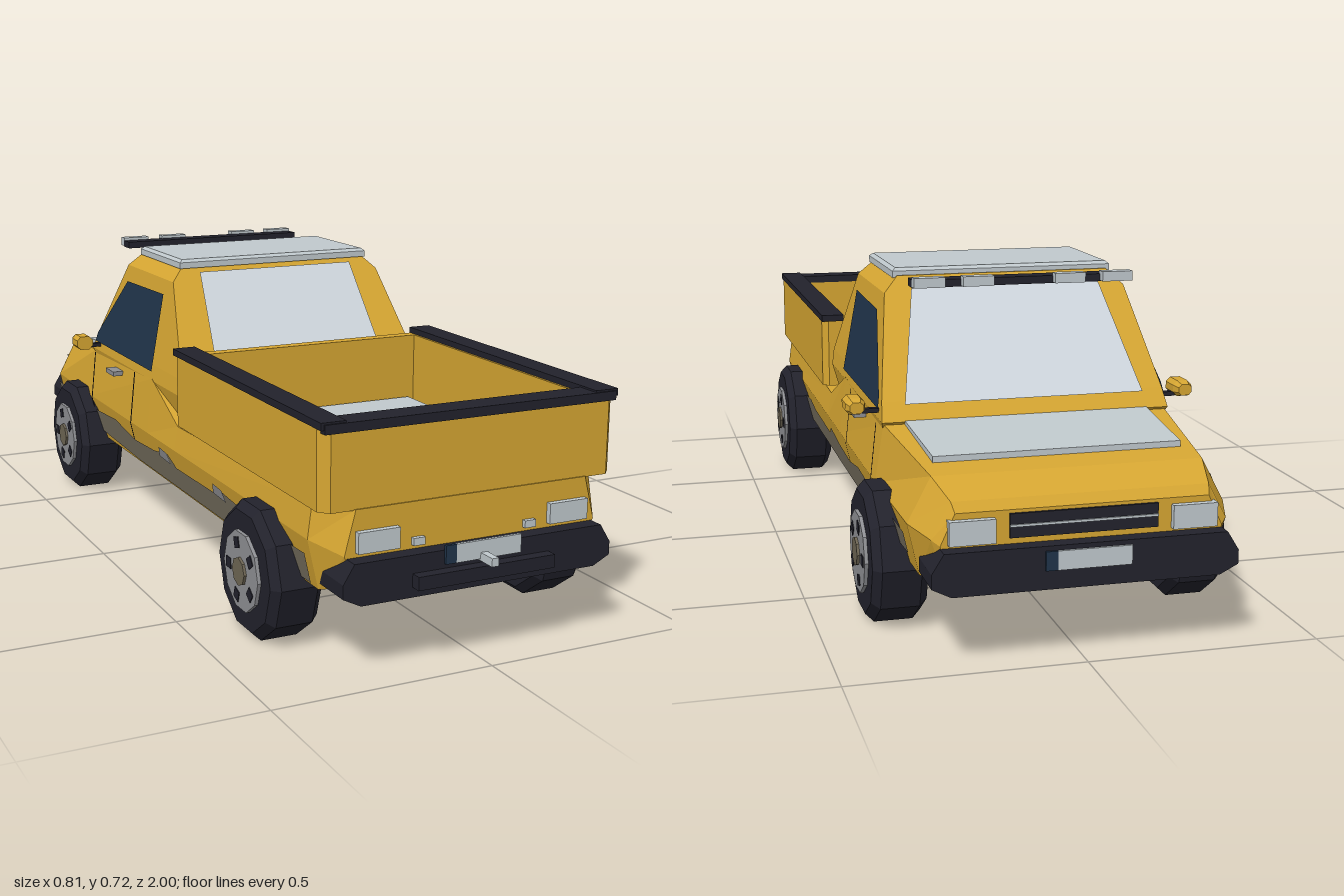
import * as THREE from 'three';

const mat = (name, color, side = THREE.FrontSide) => {
  const m = new THREE.MeshStandardMaterial({ color, side });
  m.name = name;
  return m;
};
const yellow = mat('yellow paint', 0xd6a632);
const dark = mat('dark rubber', 0x22222c, THREE.DoubleSide);
const light = mat('light panel', 0xc0c9cd, THREE.DoubleSide);
const glass = mat('pale glass', 0xcfd7de, THREE.DoubleSide);
const tint = mat('tinted glass', 0x20344a, THREE.DoubleSide);
const hubGrey = mat('hub grey', 0x8f9094);
const capBrown = mat('cap brown', 0x6e6654);
const mud = mat('mud', 0x777060, THREE.DoubleSide);

export function createModel() {
  const root = new THREE.Group();
  root.name = 'pickup truck';

  const flat = (g) => {
    const f = g.index ? g.toNonIndexed() : g;
    f.computeVertexNormals();
    return f;
  };
  const add = (name, geo, material, parent = root) => {
    const m = new THREE.Mesh(flat(geo), material);
    m.name = name;
    parent.add(m);
    return m;
  };
  // Box given by its extents on each axis
  const box = (name, [x0, x1], [y0, y1], [z0, z1], material, parent) => {
    const g = new THREE.BoxGeometry(x1 - x0, y1 - y0, z1 - z0);
    g.translate((x0 + x1) / 2, (y0 + y1) / 2, (z0 + z1) / 2);
    return add(name, g, material, parent);
  };
  // Closed solid through a series of equal-length rings, turned outward
  const loft = (rings) => {
    const n = rings[0].length, last = (rings.length - 1) * n, tris = [];
    for (let r = 0; r < rings.length - 1; r++)
      for (let i = 0; i < n; i++) {
        const a = r * n + i, b = r * n + (i + 1) % n;
        tris.push([a, b, b + n], [a, b + n, a + n]);
      }
    for (let i = 1; i < n - 1; i++)
      tris.push([0, i + 1, i], [last, last + i, last + i + 1]);
    const p = rings.flat().map((v) => new THREE.Vector3(...v));
    let volume = 0;
    for (const [a, b, c] of tris) volume += p[a].dot(p[b].clone().cross(p[c]));
    const g = new THREE.BufferGeometry().setFromPoints(p);
    g.setIndex(tris.flatMap(([a, b, c]) => (volume > 0 ? [a, b, c] : [a, c, b])));
    return g;
  };
  // Thin panel drawn in (u, v) and placed in space by a rule
  const panel = (name, pts, place, material) => {
    const g = new THREE.ShapeGeometry(new THREE.Shape(pts.map((p) => new THREE.Vector2(...p))));
    const pos = g.attributes.position;
    for (let i = 0; i < pos.count; i++) pos.setXYZ(i, ...place(pos.getX(i), pos.getY(i)));
    return add(name, g, material);
  };

  // Lower body: z, bottom half-width, bottom y, waist half-width, waist y, top half-width, top y
  const sections = [
    [0.915, 0.27, 0.19, 0.30, 0.26, 0.275, 0.355],
    [0.84, 0.32, 0.17, 0.345, 0.28, 0.335, 0.355],
    [0.10, 0.32, 0.17, 0.345, 0.28, 0.335, 0.34],
    [-0.09, 0.32, 0.17, 0.345, 0.28, 0.33, 0.42],
    [-0.55, 0.32, 0.17, 0.345, 0.28, 0.325, 0.41],
    [-0.86, 0.315, 0.17, 0.34, 0.28, 0.29, 0.375],
    [-0.945, 0.28, 0.18, 0.31, 0.27, 0.27, 0.345],
    [-0.96, 0.27, 0.19, 0.295, 0.26, 0.265, 0.325],
  ];
  add('body', loft(sections.map(([z, wb, yb, wm, ym, wt, yt]) => [
    [wb, yb, z], [wm, ym, z], [wt, yt, z], [-wt, yt, z], [-wm, ym, z], [-wb, yb, z],
  ])), yellow);

  // Cab: y, rear z, front z, half-width
  const cabRings = [
    [0.34, 0.09, -0.5, 0.31],
    [0.415, 0.105, -0.562, 0.33],
    [0.455, 0.105, -0.535, 0.325],
    [0.67, -0.045, -0.375, 0.285],
    [0.705, -0.07, -0.349, 0.25],
  ];
  add('cab', loft(cabRings.map(([y, zb, zf, w]) => [
    [w, y, zb], [w, y, zf], [-w, y, zf], [-w, y, zb],
  ])), yellow);
  const roof = (y, e) => [[0.26 - e, y, -0.06 - e], [0.26 - e, y, -0.345 + e],
    [-0.26 + e, y, -0.345 + e], [-0.26 + e, y, -0.06 - e]];
  add('roofPanel', loft([roof(0.7, 0), roof(0.715, 0), roof(0.722, 0.008)]), light);

  // Windows
  panel('rearWindow', [[-0.23, 0.465], [0.23, 0.465], [0.21, 0.69], [-0.21, 0.69]],
    (x, y) => [x, y, 0.111 - (y - 0.455) * 0.698], glass);
  panel('windscreen', [[-0.275, 0.45], [0.275, 0.45], [0.22, 0.69], [-0.22, 0.69]],
    (x, y) => [x, y, -0.541 + (y - 0.455) * 0.744], glass);

  // Bonnet panel
  add('bonnetPanel', loft([[-0.53, 0.42, 0.28], [-0.79, 0.396, 0.27]].map(([z, y, w]) => [
    [w, y - 0.03, z], [w, y, z], [-w, y, z], [-w, y - 0.03, z]])), light);

  // Load bed: walls in plan with an open middle
  const plan = (pts) => pts.map((p) => new THREE.Vector2(...p));
  const bed = new THREE.Shape(plan([[-0.335, 0.125], [0.335, 0.125], [0.35, 0.14], [0.35, 0.89],
    [0.33, 0.912], [-0.33, 0.912], [-0.35, 0.89], [-0.35, 0.14]]));
  bed.holes.push(new THREE.Path(plan([[-0.29, 0.155], [-0.29, 0.86], [0.29, 0.86], [0.29, 0.155]])));
  const bedGeo = new THREE.ExtrudeGeometry(bed, { depth: 0.172, bevelEnabled: false });
  bedGeo.rotateX(Math.PI / 2).translate(0, 0.525, 0);
  add('bedWalls', bedGeo, yellow);
  box('bedFloor', [-0.27, 0.27], [0.35, 0.368], [0.165, 0.83], light);
  box('rearRail', [-0.345, 0.345], [0.515, 0.535], [0.855, 0.916], dark);

  // Bumpers
  const bumper = new THREE.Shape(plan([[-0.28, 0.165], [0.28, 0.165], [0.32, 0.185], [0.32, 0.215],
    [0.295, 0.255], [-0.295, 0.255], [-0.32, 0.215], [-0.32, 0.185]]));
  for (const [name, z, depth] of [['rearBumper', 0.83, 0.12], ['frontBumper', -0.993, 0.11]]) {
    const g = new THREE.ExtrudeGeometry(bumper, { depth, bevelEnabled: false });
    add(name, g.translate(0, 0, z), dark);
  }
  box('rearStep', [-0.163, 0.163], [0.187, 0.216], [0.94, 0.975], dark);
  box('towHitch', [-0.008, 0.008], [0.222, 0.24], [0.94, 1.0], light);
  box('rearPlate', [-0.065, 0.09], [0.226, 0.266], [0.95, 0.957], light);
  box('rearPlateBand', [-0.09, -0.065], [0.226, 0.266], [0.95, 0.957], tint);
  box('frontPlate', [-0.09, 0.065], [0.205, 0.245], [-0.998, -0.992], light);
  box('frontPlateBand', [0.065, 0.09], [0.205, 0.245], [-0.998, -0.992], tint);
  box('grille', [-0.155, 0.155], [0.268, 0.318], [-0.966, -0.95], dark);
  box('grilleTrim', [-0.155, 0.155], [0.291, 0.296], [-0.969, -0.96], light);

  // Light bar ahead of the roof
  box('lightBar', [-0.25, 0.25], [0.7, 0.717], [-0.51, -0.467], dark);
  for (const x of [-0.215, -0.105, 0.105, 0.215])
    box('roofLamp', [x - 0.035, x + 0.035], [0.702, 0.724], [-0.53, -0.505], light);

  // Wheel with outer face toward +y, turned to the side later
  const makeWheel = () => {
    const w = new THREE.Group();
    w.name = 'wheel';
    const profile = plan([[0, -0.06], [0.135, -0.06], [0.153, -0.042], [0.153, 0.042],
      [0.135, 0.06], [0.088, 0.06]]);
    add('tyre', new THREE.LatheGeometry(profile, 10), dark, w);
    add('hub', new THREE.CylinderGeometry(0.09, 0.09, 0.1, 10).translate(0, 0.018, 0), hubGrey, w);
    add('hubCap', new THREE.CylinderGeometry(0.032, 0.032, 0.02, 8).translate(0, 0.064, 0), capBrown, w);
    for (let i = 0; i < 5; i++) {
      const g = new THREE.BoxGeometry(0.024, 0.006, 0.024).translate(0.062, 0.067, 0);
      add('hubHole', g.rotateY((i * Math.PI * 2) / 5 + 0.3), dark, w);
    }
    return w;
  };

  // Everything that mirrors left and right
  const span = (s, a, b) => (s > 0 ? [a, b] : [-b, -a]);
  const mudLine = [[0.82, 0.178], [0.82, 0.245], [0.6, 0.238], [0.4, 0.256], [0.34, 0.24], [0.1, 0.235],
    [0.05, 0.26], [-0.05, 0.243], [-0.2, 0.235], [-0.34, 0.258], [-0.5, 0.248], [-0.85, 0.26], [-0.85, 0.215],
    [-0.5, 0.19], [-0.2, 0.178]];
  for (const s of [1, -1]) {
    const lowSide = (z, y) => [s * (0.325 + (y - 0.17) * 0.227), y, z];
    const highSide = (z, y) => [s * (0.35 - (y - 0.28) * 0.107), y, z];
    const cabSide = (z, y) => [s * (0.33 - (y - 0.455) * 0.186), y, z];

    panel('sideWindow', [[-0.085, 0.44], [-0.085, 0.635], [-0.35, 0.63], [-0.52, 0.465], [-0.53, 0.44]],
      cabSide, tint);
    panel('mudSplash', mudLine, lowSide, mud);
    for (const z of [0.38, 0.03])
      panel('scuff', [[z - 0.04, 0.24], [z + 0.035, 0.236], [z + 0.02, 0.262], [z - 0.03, 0.266]],
        (u, v) => { const p = lowSide(u, v); return [p[0] + s * 0.002, p[1], p[2]]; }, hubGrey);
    for (const [z, top] of [[-0.2, 0.415], [-0.52, 0.408]]) {
      const strip = (a, b) => [[z, a], [z, b], [z - 0.007, b], [z - 0.007, a]];
      panel('doorSeam', strip(0.235, 0.28), lowSide, dark);
      panel('doorSeam', strip(0.28, top), highSide, dark);
    }
    box('doorHandle', span(s, 0.33, 0.358), [0.384, 0.396], [-0.37, -0.31], hubGrey);

    // Wing mirror
    box('mirrorStem', span(s, 0.31, 0.365), [0.428, 0.438], [-0.515, -0.5], dark);
    const mirror = [[-0.022, -0.008], [-0.012, -0.018], [0.012, -0.018], [0.022, -0.008],
      [0.022, 0.008], [0.012, 0.018], [-0.012, 0.018], [-0.022, 0.008]];
    add('wingMirror', loft([[-0.54, 0.7], [-0.52, 1], [-0.475, 1]].map(([z, k]) =>
      mirror.map(([x, y]) => [s * 0.381 + x * k, 0.446 + y * k, z]))), yellow);

    // Rails and lamps
    box('sideRail', span(s, 0.296, 0.352), [0.523, 0.539], [0.12, 0.912], dark);
    box('tailLamp', span(s, 0.18, 0.275), [0.265, 0.31], [0.9, 0.928], light);
    box('reflector', span(s, 0.12, 0.147), [0.264, 0.28], [0.905, 0.925], light);
    box('headlamp', span(s, 0.185, 0.28), [0.262, 0.312], [-0.974, -0.94], light);

    for (const z of [0.63, -0.63]) {
      const w = makeWheel();
      w.rotation.z = -s * Math.PI / 2;
      w.position.set(s * 0.333, 0.153, z);
      root.add(w);
    }
  }

  // Rest the tyres on the ground
  const bounds = new THREE.Box3().setFromObject(root, true);
  root.children.forEach((c) => { c.position.y -= bounds.min.y; });
  return root;
}
